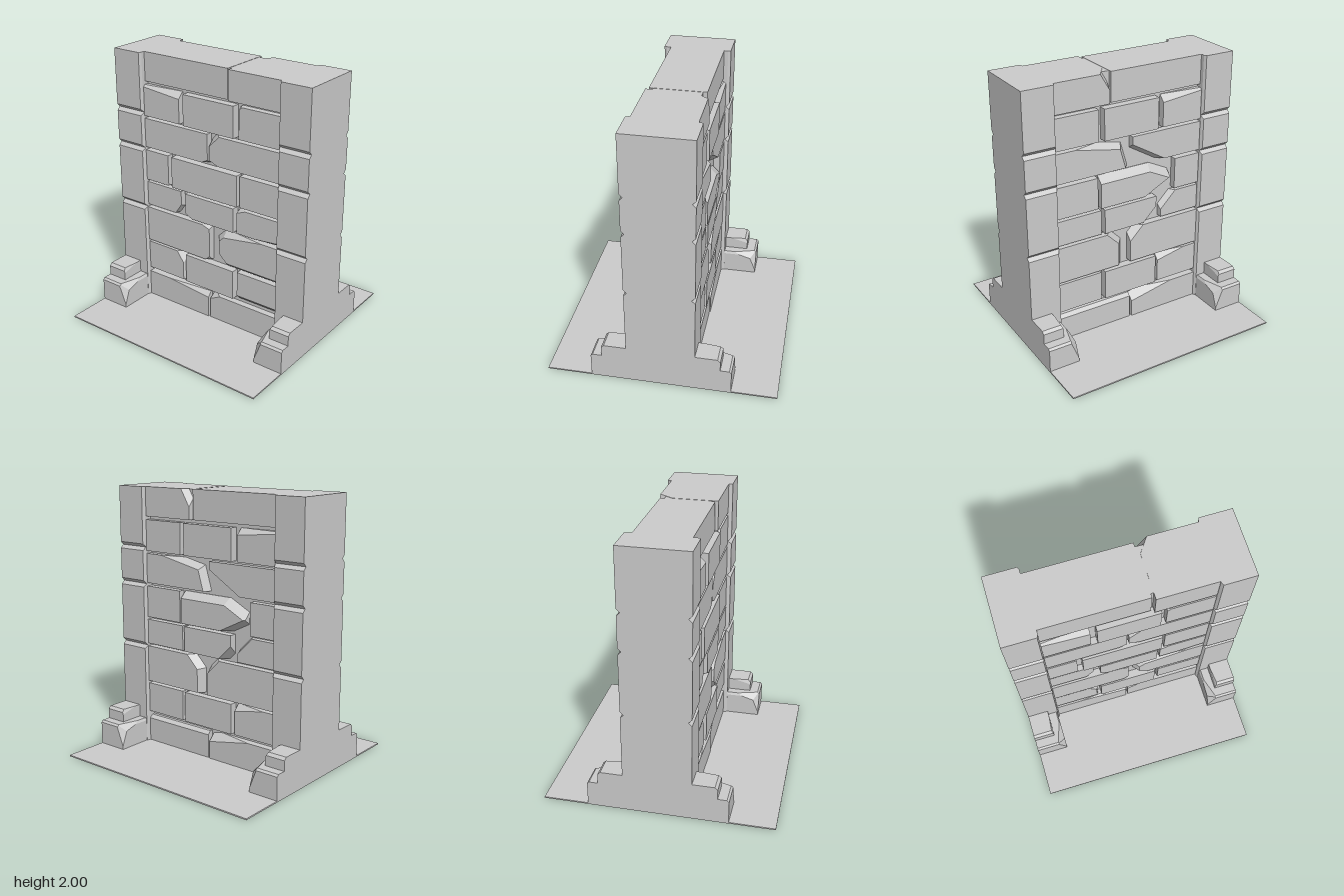
import * as THREE from 'three';
import { ConvexGeometry } from 'three/addons/geometries/ConvexGeometry.js';

const material = new THREE.MeshStandardMaterial({ color: 0xcccccc, flatShading: true });

// Convex block: a box trimmed by planes. A cut is [nx,ny,nz, px,py,pz]; the side n points to is removed.
// sx and sz mirror the finished block.
function carve(name, [x0, x1, y0, y1, z0, z1], cuts = [], sx = 1, sz = 1) {
  const planes = [
    [-1, 0, 0, x0, 0, 0], [1, 0, 0, x1, 0, 0], [0, -1, 0, 0, y0, 0],
    [0, 1, 0, 0, y1, 0], [0, 0, -1, 0, 0, z0], [0, 0, 1, 0, 0, z1], ...cuts,
  ].map(([a, b, c, x, y, z]) => new THREE.Plane().setFromNormalAndCoplanarPoint(
    new THREE.Vector3(a, b, c).normalize(), new THREE.Vector3(x, y, z)));
  const points = [];
  const n = planes.length;
  for (let i = 0; i < n; i++) for (let j = i + 1; j < n; j++) for (let k = j + 1; k < n; k++) {
    const [a, b, c] = [planes[i], planes[j], planes[k]];
    const bc = b.normal.clone().cross(c.normal);
    const det = a.normal.dot(bc);
    if (Math.abs(det) < 1e-5) continue;
    const p = bc.multiplyScalar(-a.constant)
      .addScaledVector(c.normal.clone().cross(a.normal), -b.constant)
      .addScaledVector(a.normal.clone().cross(b.normal), -c.constant)
      .divideScalar(det);
    if (planes.some(q => q.distanceToPoint(p) > 1e-6)) continue;
    if (!points.some(q => q.distanceTo(p) < 1e-4)) points.push(p);
  }
  points.forEach(p => { p.x *= sx; p.z *= sz; });
  const mesh = new THREE.Mesh(new ConvexGeometry(points), material);
  mesh.name = name;
  return mesh;
}

// Courses: bottom, top, then bricks as [x0, x1, face depth]
const courses = [
  [0, 0.215, [-0.6, -0.015, 0.225], [0.0, 0.6, 0.22]],
  [0.25, 0.48, [-0.6, -0.25, 0.22], [-0.225, 0.22, 0.23], [0.25, 0.6, 0.22]],
  [0.5, 0.78, [-0.6, 0.0, 0.225], [0.05, 0.6, 0.225]],
  [0.8, 0.99, [-0.6, -0.27, 0.215], [-0.22, 0.22, 0.23], [0.245, 0.6, 0.22]],
  [1.01, 1.25, [-0.6, -0.385, 0.22], [-0.345, 0.25, 0.23], [0.27, 0.6, 0.22]],
  [1.275, 1.5, [-0.6, -0.015, 0.22], [0.0, 0.6, 0.22]],
  [1.52, 1.755, [-0.6, -0.27, 0.22], [-0.225, 0.22, 0.23], [0.26, 0.6, 0.22]],
  [1.78, 2, [-0.6, 0.15, 0.2], [0.17, 0.6, 0.22]],
];

// Chipped edges, keyed by course and brick
const frontChips = {
  '0,0': [[0.1, 1, 1, 0, 0.18, 0.22]],
  '0,1': [[-0.5, 1, 0.6, 0, 0.17, 0.22]],
  '1,0': [[1, 0.7, 1, -0.29, 0.44, 0.22], [1, 0, 0.5, -0.26, 0.3, 0.22]],
  '1,2': [[0, -1, 1, 0.45, 0.285, 0.22]],
  '2,0': [[1, -1, 1, -0.02, 0.515, 0.225], [1, 3, 1, -0.05, 0.775, 0.225]],
  '2,1': [[-1, 0, 0.8, 0.09, 0.6, 0.225], [-0.15, 1, 1, 0.3, 0.755, 0.225],
    [0, -1, 1, 0.3, 0.525, 0.225], [-1, -1, 1, 0.12, 0.56, 0.225], [-1, 1, 1, 0.12, 0.72, 0.225]],
  '3,0': [[1, -0.7, 0.3, -0.3, 0.84, 0.215]],
  '3,1': [[-1, -2, 1, -0.18, 0.81, 0.23]],
  '3,2': [[-0.4, 1, 0.5, 0.27, 0.97, 0.22], [0.1, -1, 1, 0.5, 0.81, 0.22]],
  '5,0': [[0.5, -1, 0.6, -0.04, 1.29, 0.22]],
  '5,1': [[-0.4, -1, 0.6, 0.04, 1.29, 0.22], [-1, 1, 1, 0.05, 1.46, 0.22]],
  '6,0': [[0.1, 1, 1, -0.3, 1.71, 0.22]],
  '6,2': [[-1, 1, 1, 0.275, 1.745, 0.22]],
};
const backChips = {
  '0,0': [[0.2, 1, 1, -0.2, 0.18, 0.225]],
  '0,1': [[0, 1, 1, 0.3, 0.19, 0.22]],
  '1,0': [[0.2, 1, 1, -0.4, 0.46, 0.22]],
  '2,0': [[1, 1, 1, -0.05, 0.72, 0.225]],
  '2,1': [[-1, 0, 0.8, 0.1, 0.6, 0.225], [-1, 1, 1, 0.14, 0.72, 0.225]],
  '3,0': [[1, 1, 0.7, -0.34, 0.93, 0.215]],
  '3,1': [[-1, -1, 1, -0.15, 0.84, 0.23]],
  '4,1': [[0, 1, 0.9, -0.1, 1.2, 0.23], [-0.5, 1, 1, -0.22, 1.17, 0.23], [-0.5, -1, 0.7, -0.24, 1.07, 0.23]],
  '5,0': [[0.6, -1, 0.7, -0.15, 1.36, 0.22]],
  '5,1': [[-0.2, 1, 0.8, 0.2, 1.45, 0.22], [-1, 0.3, 0.8, 0.08, 1.4, 0.22]],
  '6,0': [[0.1, 1, 1, -0.4, 1.72, 0.22]],
  '7,1': [[-1, 0.6, 0.7, 0.21, 1.94, 0.22]],
};

function brickFace(name, chips, sz) {
  const face = new THREE.Group();
  face.name = name;
  courses.forEach(([y0, y1, ...bricks], row) => bricks.forEach(([x0, x1, depth], i) => {
    face.add(carve('brick', [x0, x1, y0, y1, 0, depth], chips[`${row},${i}`], 1, sz));
  }));
  return face;
}

// Pillar of stacked blocks with V grooves between them
function pillar(name, sx) {
  const group = new THREE.Group();
  group.name = name;
  const joints = [0, 0.786, 1.268, 1.548, 2];
  for (let i = 0; i < 4; i++) {
    const [y0, y1] = [joints[i], joints[i + 1]];
    const cuts = [];
    for (const s of [1, -1]) {
      cuts.push([-1, 0, s * 0.5, 0.61, 0, s * 0.25]);
      if (i > 0) cuts.push([0, -1, s, 0, y0 + 0.025, s * 0.25]);
      if (i < 3) cuts.push([0, 1, s, 0, y1 - 0.025, s * 0.25]);
    }
    group.add(carve('pillarBlock', [0.6, 0.845, y0, y1, -0.25, 0.25], cuts, sx));
  }
  return group;
}

// Two stepped stones at the foot of a pillar
function footing(sx, sz) {
  const group = new THREE.Group();
  group.name = 'footing';
  group.add(carve('lowerFootingStone', [0.612, 0.845, 0, 0.195, 0.2, 0.513], [
    [0, 1, 1, 0, 0.18, 0.513], [-1, 0.5, 0, 0.612, 0.175, 0],
    [-1, 0.4, 1, 0.65, 0.13, 0.513], [-1, 1, 0.3, 0.65, 0.19, 0.45],
  ], sx, sz));
  group.add(carve('upperFootingStone', [0.685, 0.845, 0.15, 0.29, 0.2, 0.432], [
    [0, 1, 1, 0, 0.27, 0.432], [-1, 0.4, 0.1, 0.69, 0.275, 0.4],
  ], sx, sz));
  return group;
}

export function createModel() {
  const model = new THREE.Group();
  model.name = 'brickWall';
  model.add(carve('groundSlab', [-0.845, 0.845, 0, 0.01, -0.845, 0.845]));
  model.add(carve('mortarCore', [-0.61, 0.61, 0, 1.998, -0.17, 0.17]));
  model.add(brickFace('frontBricks', frontChips, 1), brickFace('backBricks', backChips, -1));
  model.add(pillar('leftPillar', 1), pillar('rightPillar', -1));
  for (const sx of [1, -1]) for (const sz of [1, -1]) model.add(footing(sx, sz));
  return model;
}
